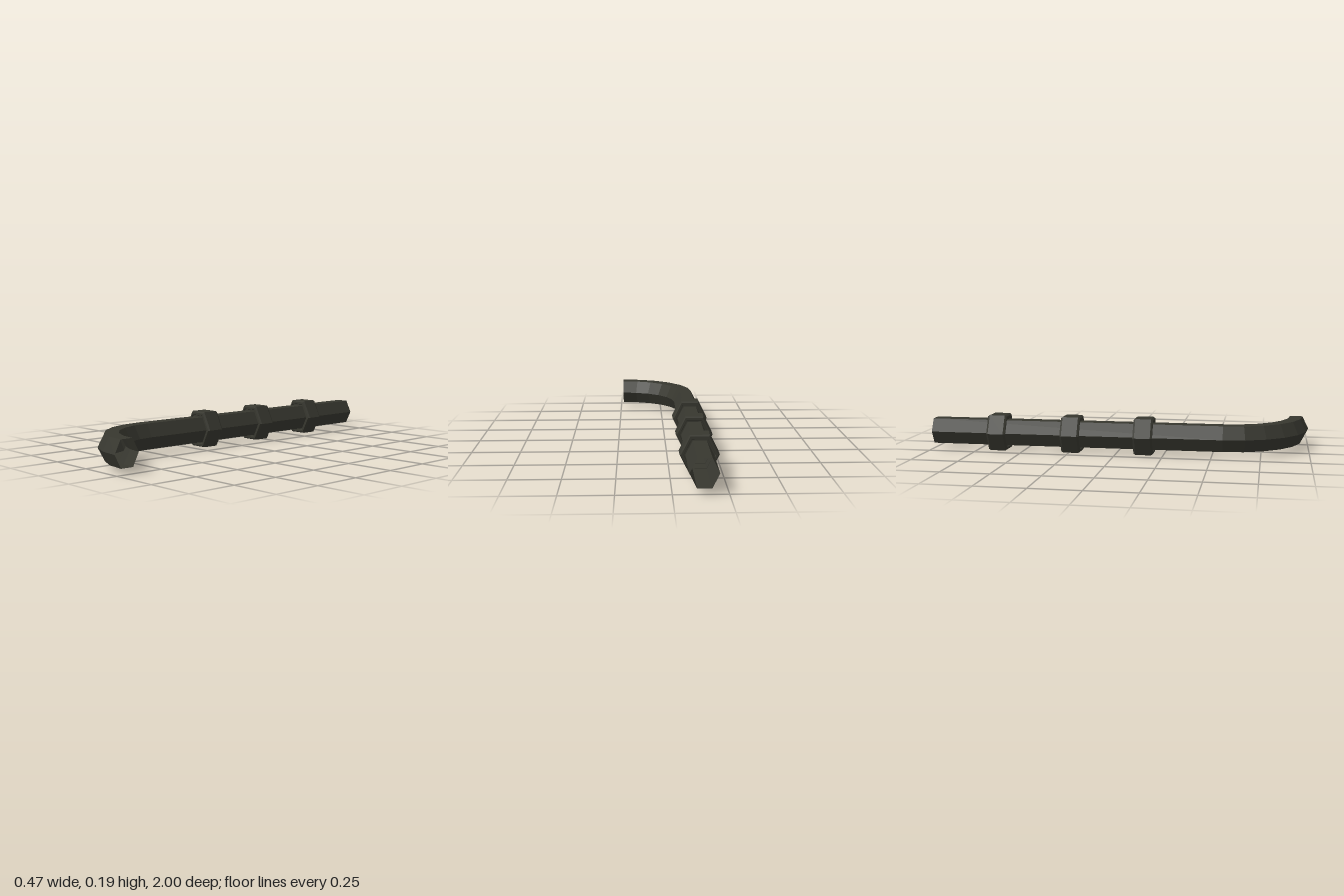
import * as THREE from 'three';

const AXIS_X = -0.141, AXIS_Y = 0.095;
// Hexagon with points to the sides and flat top and bottom, for radius 1
const HEX = [[1, 0], [0.5, 1], [-0.5, 1], [-1, 0], [-0.5, -1], [0.5, -1]];

// Skins hexagonal sections; each station has x, z, heading angle t and radius r
function loftHex(stations) {
  const pos = [], index = [], n = HEX.length;
  for (const { x, z, t, r } of stations) {
    for (const [u, v] of HEX) {
      pos.push(x + u * r * Math.cos(t), AXIS_Y + v * r, z - u * r * Math.sin(t));
    }
  }
  for (let i = 0; i < stations.length - 1; i++) {
    for (let j = 0; j < n; j++) {
      const k = (j + 1) % n;
      const a = i * n + j, b = i * n + k, c = b + n, d = a + n;
      index.push(a, b, c, a, c, d);
    }
  }
  const indexed = new THREE.BufferGeometry();
  indexed.setAttribute('position', new THREE.Float32BufferAttribute(pos, 3));
  indexed.setIndex(index);
  const geometry = indexed.toNonIndexed();
  geometry.computeVertexNormals();
  return geometry;
}

export function createModel() {
  const group = new THREE.Group();
  group.name = 'bentPipe';
  const material = new THREE.MeshStandardMaterial({
    color: 0x37372f, flatShading: true, side: THREE.DoubleSide,
  });

  // Open pipe: straight run followed by a quarter bend towards +x
  const r = 0.067, bendX = 0.235, bendZ = 0.557, bendR = bendX - AXIS_X, steps = 6;
  const path = [{ x: AXIS_X, z: -1, t: 0, r }];
  for (let i = 0; i <= steps; i++) {
    const t = (i / steps) * Math.PI / 2;
    path.push({ x: bendX - bendR * Math.cos(t), z: bendZ + bendR * Math.sin(t), t, r });
  }
  const pipe = new THREE.Mesh(loftHex(path), material);
  pipe.name = 'pipe';
  group.add(pipe);

  // Bevelled hexagonal collars: profile as [offset along z, radius]
  const profile = [
    [-0.044, 0.066], [-0.044, 0.074], [-0.051, 0.077], [-0.051, 0.088], [-0.041, 0.0945],
    [0.041, 0.0945], [0.051, 0.088], [0.051, 0.077], [0.044, 0.074], [0.044, 0.066],
  ];
  const collarGeometry = loftHex(profile.map(([z, rad]) => ({ x: AXIS_X, z, t: 0, r: rad })));
  [0.146, -0.24, -0.638].forEach((z, i) => {
    const collar = new THREE.Mesh(collarGeometry, material);
    collar.name = `collar${i + 1}`;
    collar.position.z = z;
    group.add(collar);
  });

  return group;
}
